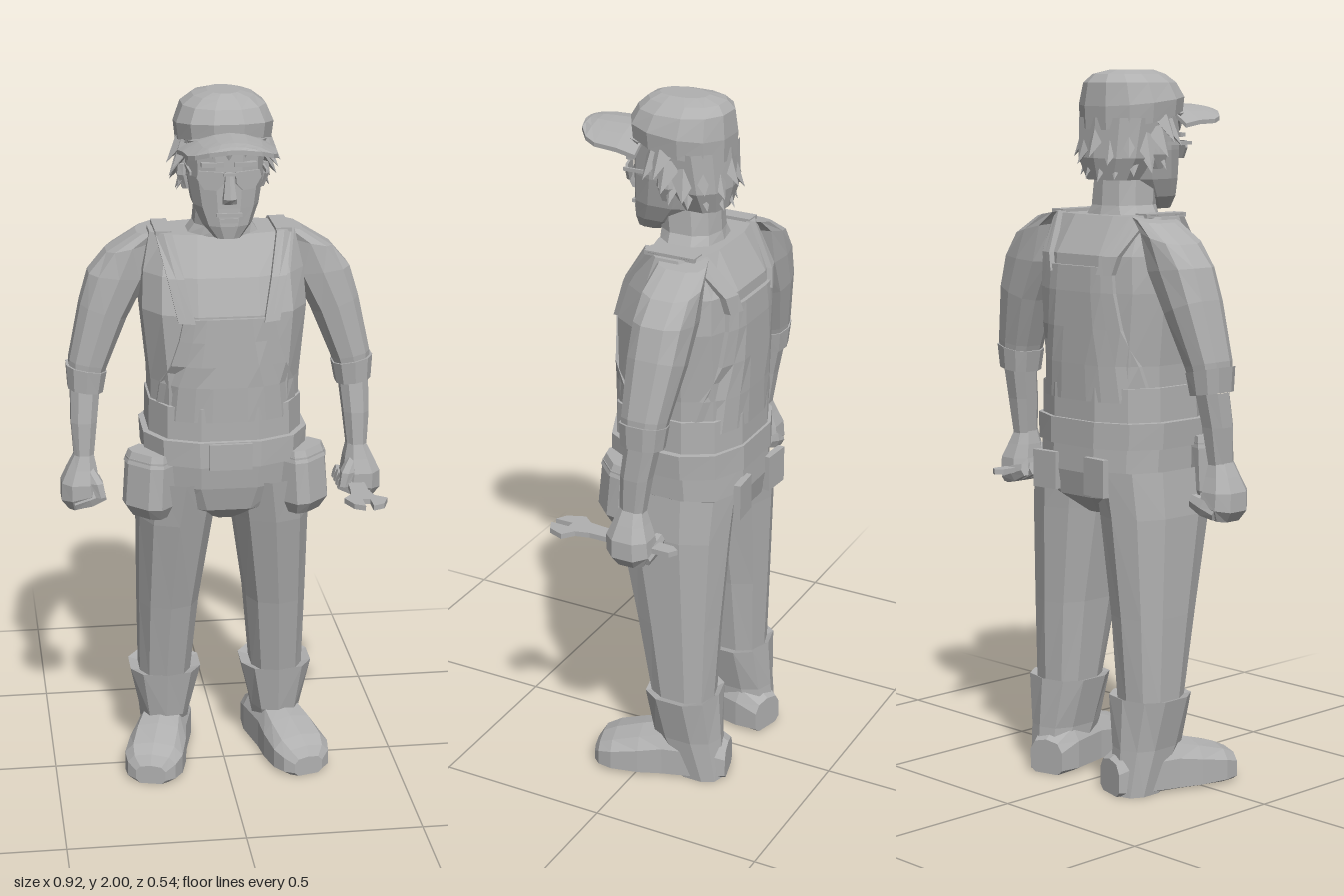
import * as THREE from 'three';

const grey = new THREE.MeshStandardMaterial({ color: 0xb0b0b0, flatShading: true });
grey.name = 'plain grey';
const V = (x, y, z) => new THREE.Vector3(x, y, z);

// Skin rings of equal, even count (counter-clockwise seen from the direction of travel).
// ends: 'both', 'top' or 'none' says which ends are closed; ends hidden in other parts stay open.
function loft(rings, ends = 'both') {
  const p = [], n = rings[0].length;
  const quad = (a, b, c, d) => [a, b, c, a, c, d].forEach(v => p.push(v.x, v.y, v.z));
  for (let k = 0; k < rings.length - 1; k++)
    for (let i = 0; i < n; i++) {
      const j = (i + 1) % n;
      quad(rings[k][i], rings[k][j], rings[k + 1][j], rings[k + 1][i]);
    }
  const first = rings[0], last = rings[rings.length - 1];
  for (let i = 0; i < n / 2 - 1; i++) {
    if (ends !== 'none') quad(last[i], last[i + 1], last[n - 2 - i], last[n - 1 - i]);
    if (ends === 'both') quad(first[n - 1 - i], first[n - 2 - i], first[i + 1], first[i]);
  }
  const g = new THREE.BufferGeometry();
  g.setAttribute('position', new THREE.Float32BufferAttribute(p, 3));
  return g;
}

// Squarish oval ring: [y, centre x, centre z, half width, half depth, slope over x, slope over z]
function ring([y, cx, cz, rx, rz, sx = 0, sz = 0], n = 10, pow = 0.8) {
  const soft = v => Math.sign(v) * Math.abs(v) ** pow;
  return Array.from({ length: n }, (_, i) => {
    const a = (i + 0.5) / n * Math.PI * 2;
    const dx = rx * soft(Math.cos(a)), dz = -rz * soft(Math.sin(a));
    return V(cx + dx, y + dx * sx + dz * sz, cz + dz);
  });
}
const body = (rows, n, pow, ends) => loft(rows.map(r => ring(r, n, pow)), ends);
const box = (w, h, d, x, y, z) => new THREE.BoxGeometry(w, h, d).translate(x, y, z);

// Torso profile, also used to lay the bib and straps on the chest
const torso = [
  [1.1, 0, -0.05, 0.213, 0.188], [1.2, 0, -0.05, 0.215, 0.189], [1.4, 0, -0.053, 0.236, 0.185],
  [1.5, 0, -0.068, 0.23, 0.163], [1.605, 0, -0.072, 0.208, 0.095]];

function torsoZ(x, y, s) {
  let k = 0;
  while (k < torso.length - 2 && y > torso[k + 1][0]) k++;
  const t = (y - torso[k][0]) / (torso[k + 1][0] - torso[k][0]);
  const pts = ring(torso[k].map((v, i) => v + (torso[k + 1][i] - v) * t), 12, 0.75);
  for (let i = 0; i < 12; i++) {
    const a = pts[i], b = pts[(i + 1) % 12];
    if (s * (b.x - a.x) > 1e-6 && s * x >= s * a.x - 1e-6 && s * x <= s * b.x + 1e-6)
      return a.z + (b.z - a.z) * (x - a.x) / (b.x - a.x);
  }
  return torso[k][2];
}

// Cloth panel hugging the front (s = 1) or back (s = -1): rows of [y, x from, x to]
function panel(rows, s, n = 8, thick = 0.012) {
  return loft(rows.map(([y, x0, x1]) => {
    const outer = [], inner = [];
    for (let i = 0; i <= n; i++) {
      const t = s > 0 ? i / n : 1 - i / n, x = x0 + (x1 - x0) * t, z = torsoZ(x, y, s);
      outer.push(V(x, y, z + s * thick));
      inner.unshift(V(x, y, z - s * 0.012));
    }
    return [...outer, ...inner];
  }));
}

export function createModel() {
  const model = new THREE.Group();
  model.name = 'worker';

  function add(name, geo, side = 1) {
    const g = geo.index ? geo.toNonIndexed() : geo.clone();
    ['uv', 'normal'].forEach(a => g.deleteAttribute(a));
    if (side < 0) {
      const p = g.attributes.position, q = p.array.slice();
      for (let i = 0; i < p.count; i++) {
        const j = (i - i % 3 + 2 - i % 3) * 3;
        p.setXYZ(i, -q[j], q[j + 1], q[j + 2]);
      }
    }
    g.computeVertexNormals();
    const m = new THREE.Mesh(g, grey);
    m.name = name;
    model.add(m);
  }
  const pair = (name, geo) => { add('left ' + name, geo, 1); add('right ' + name, geo, -1); };

  // Torso, overalls and belt
  add('shirt', body(torso, 12, 0.75, 'top'));
  add('overall waist', body([[1.03, 0, -0.05, 0.222, 0.198], [1.14, 0, -0.05, 0.22, 0.196],
    [1.142, 0, -0.05, 0.208, 0.184]], 12, 0.75, 'none'));
  add('bib', panel([[1.1, -0.2, 0.2], [1.2, -0.188, 0.188], [1.26, -0.16, 0.16], [1.33, -0.138, 0.138],
    [1.395, -0.125, 0.125]], 1));
  add('back panel', panel([[1.1, -0.2, 0.2], [1.2, -0.185, 0.185], [1.3, -0.155, 0.155], [1.4, -0.137, 0.137],
    [1.47, -0.13, 0.13]], -1));
  pair('front strap', panel([[1.385, 0.095, 0.14], [1.5, 0.12, 0.165], [1.61, 0.145, 0.19]], 1, 2, 0.02));
  pair('back strap', panel([[1.45, 0.09, 0.135], [1.5, 0.105, 0.15], [1.61, 0.145, 0.19]], -1, 2, 0.018));
  pair('shoulder strap', box(0.045, 0.012, 0.15, 0.167, 1.608, -0.072));
  add('belt', body([[0.971, 0, -0.048, 0.216, 0.19], [0.972, 0, -0.048, 0.234, 0.209],
    [1.045, 0, -0.048, 0.238, 0.207], [1.047, 0, -0.048, 0.214, 0.188]], 12, 0.75, 'none'));
  add('buckle', box(0.12, 0.075, 0.02, 0, 1.005, 0.155));

  // Trousers
  add('hips', body([[0.775, 0, -0.07, 0.05, 0.1], [0.83, 0, -0.062, 0.17, 0.178], [0.9, 0, -0.06, 0.22, 0.194],
    [0.99, 0, -0.053, 0.222, 0.197]], 12, 0.75, 'none'));
  pair('trouser leg', body([[0.25, 0.167, -0.11, 0.077, 0.094], [0.5, 0.157, -0.09, 0.09, 0.126],
    [0.78, 0.137, -0.064, 0.111, 0.168], [0.91, 0.121, -0.055, 0.115, 0.186]], 10, 0.8, 'none'));
  pair('back pocket', box(0.085, 0.105, 0.02, 0, 0.895, 0).rotateY(0.08).translate(0.1, 0, -0.255));

  // Tool pouches on the front corners of the hips
  const place = g => g.rotateY(Math.PI / 4).translate(0.215, 0, 0.06);
  pair('pouch', place(body([[0.81, 0, 0.005, 0.058, 0.037], [0.845, 0, 0.01, 0.076, 0.054],
    [0.98, 0, 0.002, 0.074, 0.048]], 8, 0.65)));
  pair('pouch flap', place(body([[0.965, 0, 0.004, 0.077, 0.051], [0.998, 0, -0.002, 0.068, 0.042]], 8, 0.65)));

  // Boots: flared shaft over a foot turned outward
  pair('boot shaft', body([[0, 0.165, -0.165, 0.062, 0.074], [0.13, 0.167, -0.124, 0.075, 0.104],
    [0.272, 0.165, -0.11, 0.108, 0.109], [0.262, 0.165, -0.11, 0.072, 0.088]], 10, 0.8, 'none'));
  const foot = body([[-0.235, 0, -0.04, 0.055, 0.06], [-0.17, 0, -0.05, 0.073, 0.09],
    [-0.05, 0, -0.05, 0.076, 0.095], [0.02, 0, -0.045, 0.086, 0.083],
    [0.1, 0, -0.04, 0.088, 0.064], [0.14, 0, -0.035, 0.073, 0.05], [0.158, 0, -0.025, 0.045, 0.032]],
  10, 0.7).rotateX(Math.PI / 2);
  const fp = foot.attributes.position;
  for (let i = 0; i < fp.count; i++) fp.setY(i, Math.max(0, fp.getY(i)));
  pair('boot foot', foot.translate(0, 0, 0.1).rotateY(0.26).translate(0.166, 0, -0.105));

  // Arms and fists
  pair('sleeve', body([[1.17, 0.385, -0.098, 0.048, 0.057, 0.1], [1.22, 0.376, -0.1, 0.055, 0.064, 0.2],
    [1.37, 0.33, -0.112, 0.067, 0.079, 0.35], [1.47, 0.287, -0.116, 0.085, 0.082, 0.1],
    [1.555, 0.25, -0.118, 0.071, 0.08, -0.25], [1.6, 0.19, -0.115, 0.045, 0.07, -0.2]], 10, 0.75));
  pair('sleeve cuff', body([[1.14, 0.385, -0.096, 0.051, 0.06, 0.15], [1.205, 0.381, -0.098, 0.059, 0.067, 0.2]], 10));
  pair('forearm', body([[0.93, 0.395, -0.068, 0.028, 0.036], [1.05, 0.392, -0.08, 0.039, 0.044],
    [1.145, 0.386, -0.096, 0.044, 0.048]], 8, 0.8, 'none'));
  pair('hand', body([[0.8, 0.412, -0.07, 0.03, 0.05, -0.2], [0.835, 0.405, -0.07, 0.06, 0.068, -0.2],
    [0.875, 0.407, -0.068, 0.056, 0.066], [0.915, 0.4, -0.068, 0.044, 0.05],
    [0.955, 0.394, -0.068, 0.029, 0.036]], 8));
  for (let i = 0; i < 4; i++)
    pair('finger ' + (i + 1), body([[-0.045, 0, 0, 0.018, 0.015], [0, 0, 0, 0.026, 0.018],
      [0.045, 0, 0, 0.02, 0.015]], 6).rotateZ(1.25).translate(0.383, 0.832, -0.122 + i * 0.033));
  pair('thumb', body([[0.84, 0.352, -0.012, 0.016, 0.016], [0.88, 0.362, -0.022, 0.02, 0.024],
    [0.92, 0.385, -0.045, 0.016, 0.02]], 6));

  // Spanner held in the left hand
  const outline = [[0.37, -0.18], [0.385, -0.2], [0.41, -0.185], [0.41, 0.06], [0.42, 0.1], [0.452, 0.125],
    [0.435, 0.17], [0.402, 0.185], [0.402, 0.13], [0.38, 0.13], [0.38, 0.183], [0.35, 0.165],
    [0.33, 0.115], [0.355, 0.085], [0.36, 0.04]];
  add('spanner', new THREE.ExtrudeGeometry(new THREE.Shape(outline.map(q => new THREE.Vector2(...q))),
    { depth: 0.015, bevelEnabled: false }).rotateX(Math.PI / 2).translate(0, 0.85, 0));

  // Neck, head and face
  add('neck', body([[1.6, 0, -0.055, 0.105, 0.088], [1.63, 0, -0.05, 0.083, 0.085],
    [1.71, 0, -0.04, 0.076, 0.09]], 10, 0.8, 'none'));
  add('head', body([[1.615, 0, 0.072, 0.038, 0.042], [1.65, 0, 0.04, 0.07, 0.08], [1.7, 0, 0.01, 0.092, 0.108],
    [1.78, 0, -0.01, 0.107, 0.127], [1.88, 0, -0.02, 0.112, 0.134]], 12));
  add('nose', body([[1.715, 0, 0.118, 0.021, 0.02], [1.73, 0, 0.123, 0.02, 0.027],
    [1.8, 0, 0.11, 0.01, 0.015]], 6));
  add('upper lip', box(0.07, 0.01, 0.022, 0, 1.683, 0.112));
  add('lower lip', box(0.048, 0.012, 0.022, 0, 1.666, 0.108));
  pair('eyebrow', box(0.06, 0.012, 0.02, 0.045, 1.82, 0.108));
  const lens = [[0.014, 0.018], [0.085, 0.02], [0.09, 0], [0.07, -0.03], [0.035, -0.032], [0.016, -0.012]];
  pair('glasses lens', new THREE.ExtrudeGeometry(new THREE.Shape(lens.map(q => new THREE.Vector2(...q))),
    { depth: 0.007, bevelEnabled: false }).rotateY(0.3).translate(0, 1.785, 0.133));
  add('glasses bridge', box(0.035, 0.008, 0.008, 0, 1.797, 0.133));
  pair('glasses arm', box(0.006, 0.01, 0.13, 0.104, 1.798, 0.045));
  pair('ear', body([[1.73, 0.102, -0.02, 0.012, 0.015], [1.77, 0.112, -0.022, 0.018, 0.028],
    [1.8, 0.112, -0.022, 0.014, 0.024]], 6));

  // Hair: a mass at the back with flared, ragged locks and a fringe
  add('hair', body([[1.7, 0, -0.09, 0.08, 0.062], [1.76, 0, -0.078, 0.114, 0.088],
    [1.87, 0, -0.06, 0.124, 0.1]], 10, 0.8, 'none'));
  const spike = (a, r, y, h, w, tilt) => new THREE.ConeGeometry(w, h, 4).scale(1, 1, 0.55).rotateX(Math.PI)
    .rotateX(-tilt).translate(0, y, r).rotateY(a).translate(0, 0, -0.035);
  for (let i = 0; i < 9; i++) {
    const a = 1.5 + i * (Math.PI - 1.5) / 4;
    add('hair lock', spike(a, 0.126, 1.8 - (i % 2) * 0.02, 0.09, 0.045, 0.55));
    add('nape lock', spike(a + 0.1, 0.112, 1.735 + Math.abs(i - 4) * 0.008, 0.09, 0.038, 0.45));
  }
  [[1.15, 1.825], [1.4, 1.835]].forEach(([a, y]) => pair('temple lock', spike(a, 0.138, y, 0.08, 0.036, 0.6)));
  for (let i = -2; i <= 2; i++) add('fringe lock', spike(i * 0.3, 0.145, 1.855, 0.05, 0.034, 0.1));

  // Cap with a curved brim
  add('cap crown', body([[1.872, 0, -0.02, 0.112, 0.12, 0, 0.2], [1.865, 0, -0.02, 0.131, 0.142, 0, 0.2],
    [1.915, 0, -0.02, 0.137, 0.144, 0, 0.1], [1.965, 0, -0.027, 0.117, 0.13],
    [1.988, 0, -0.03, 0.085, 0.108], [2, 0, -0.02, 0.045, 0.07]], 12, 0.88, 'top'));
  const brim = [[0.06, 0.134, 1.905], [0.12, 0.127, 1.908], [0.19, 0.12, 1.905], [0.225, 0.105, 1.903],
    [0.255, 0.07, 1.898], [0.27, 0.025, 1.893]];
  add('cap brim', loft(brim.map(([z, w, y]) => {
    const top = [], under = [];
    for (let i = -3; i <= 3; i++) {
      const x = w * i / 3, h = y - 2.9 * x * x;
      under.push(V(x, h - 0.012, z));
      top.unshift(V(x, h, z));
    }
    return [...under, ...top];
  })));

  return model;
}
